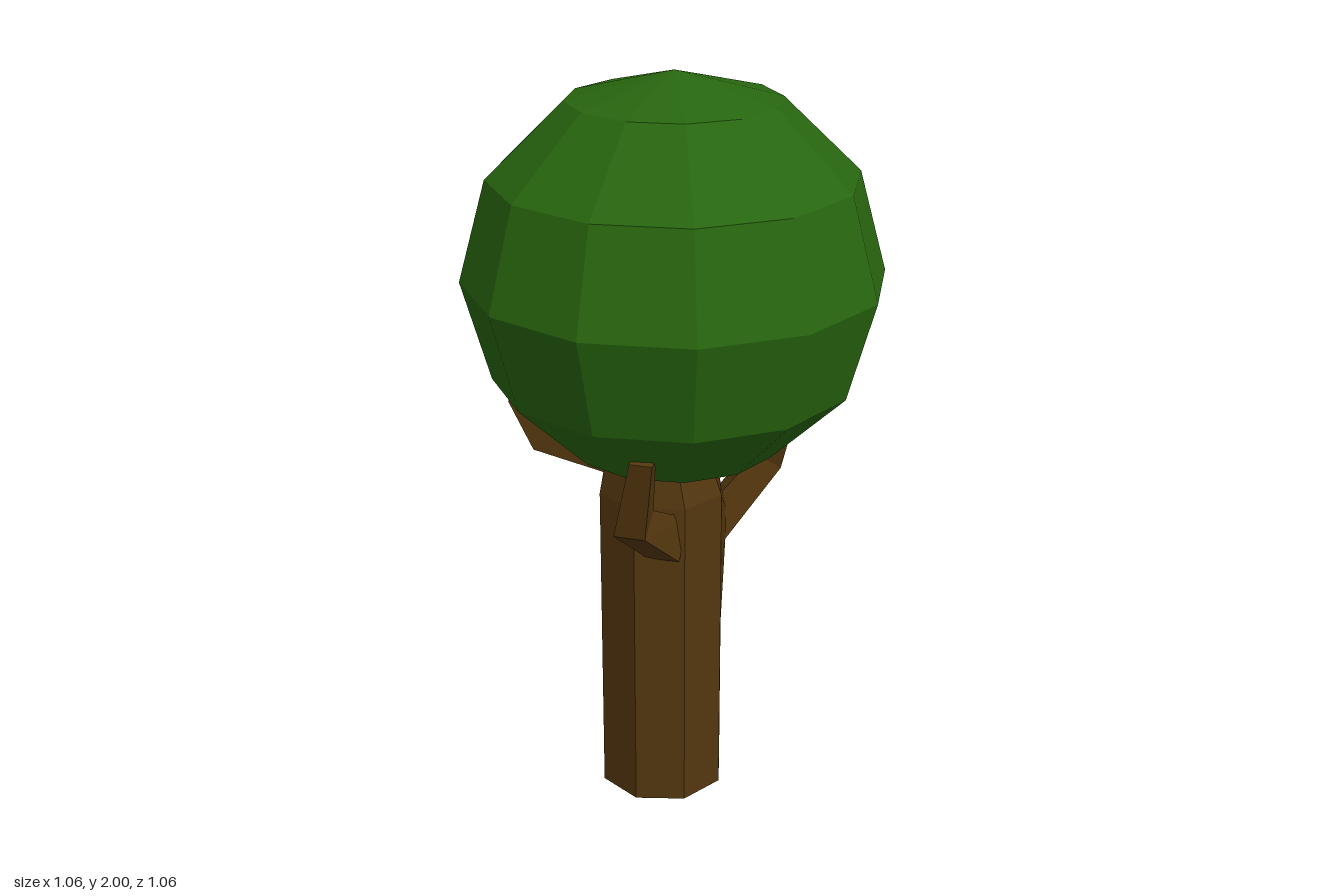
import * as THREE from 'three';

// Closed, flat-faced skin over a list of rings (arrays of Vector3)
function loft(rings) {
  const pos = [];
  const tri = (...pts) => pts.forEach(p => pos.push(p.x, p.y, p.z));
  const n = rings[0].length;
  const last = rings.length - 1;
  const middle = ring => ring.reduce((s, p) => s.add(p), new THREE.Vector3()).divideScalar(n);
  const low = middle(rings[0]);
  const high = middle(rings[last]);
  for (let j = 0; j < n; j++) {
    const k = (j + 1) % n;
    for (let i = 0; i < last; i++) {
      const a = rings[i][j], b = rings[i][k], c = rings[i + 1][k], d = rings[i + 1][j];
      tri(a, d, c);
      tri(a, c, b);
    }
    tri(low, rings[0][j], rings[0][k]);
    tri(high, rings[last][k], rings[last][j]);
  }
  const geo = new THREE.BufferGeometry();
  geo.setAttribute('position', new THREE.Float32BufferAttribute(pos, 3));
  geo.computeVertexNormals();
  return geo;
}

// Eight-sided ring of the trunk
function trunkRing(y, r, cx = -0.036, cz = 0) {
  return Array.from({ length: 8 }, (_, j) => {
    const a = j * Math.PI / 4;
    return new THREE.Vector3(cx + r * Math.cos(a), y, cz + r * Math.sin(a));
  });
}

// Four-sided limb; each node is [x, y, z, half width, half height]
function limb(nodes) {
  const pts = nodes.map(n => new THREE.Vector3(n[0], n[1], n[2]));
  const end = pts.length - 1;
  const run = pts[end].clone().sub(pts[0]);
  const u = new THREE.Vector3(-run.z, 0, run.x).normalize();
  return loft(nodes.map((n, i) => {
    const t = pts[Math.min(i + 1, end)].clone().sub(pts[Math.max(i - 1, 0)]);
    const v = u.clone().cross(t).normalize();
    return [[1, 1], [-1, 1], [-1, -1], [1, -1]].map(([a, b]) =>
      pts[i].clone().addScaledVector(u, a * n[3]).addScaledVector(v, b * n[4]));
  }));
}

export function createModel() {
  const tree = new THREE.Group();
  tree.name = 'tree';

  const bark = new THREE.MeshStandardMaterial({ color: 0x54370f, flatShading: true });
  bark.name = 'bark brown';
  const leaf = new THREE.MeshStandardMaterial({ color: 0x28660f, flatShading: true });
  leaf.name = 'leaf green';

  const add = (name, geo, mat) => {
    const mesh = new THREE.Mesh(geo, mat);
    mesh.name = name;
    tree.add(mesh);
    return mesh;
  };

  // Trunk, swelling on its left where the long branch leaves it
  const rings = [
    trunkRing(0, 0.175), trunkRing(0.44, 0.175), trunkRing(0.68, 0.175),
    trunkRing(0.77, 0.175), trunkRing(0.89, 0.175), trunkRing(1.02, 0.14, -0.05, 0.01),
  ];
  for (const ring of [rings[2], rings[3]]) {
    ring[0].x = 0.165;
    ring[0].z = -0.035;
    ring[7].x = 0.145;
    ring[7].z = -0.115;
  }
  rings[4][0].x = 0.13;
  add('trunk', loft(rings), bark);

  // Branches
  add('leftBranch', limb([
    [0.12, 0.69, -0.075, 0.038, 0.05],
    [0.30, 0.895, -0.06, 0.033, 0.04],
    [0.355, 1.12, 0.02, 0.014, 0.008],
  ]), bark);
  add('frontBranch', limb([
    [-0.07, 0.795, 0.13, 0.045, 0.06],
    [-0.195, 0.90, 0.225, 0.042, 0.045],
    [-0.195, 1.10, 0.295, 0.03, 0.016],
  ]), bark);
  add('rightBranch', limb([
    [-0.15, 0.98, -0.05, 0.045, 0.045],
    [-0.32, 1.035, -0.13, 0.04, 0.045],
    [-0.38, 1.14, -0.165, 0.03, 0.025],
  ]), bark);

  // Round faceted crown
  const crown = add('crown', new THREE.SphereGeometry(1, 12, 6).rotateY(Math.PI / 12), leaf);
  crown.scale.set(0.549, 0.53, 0.549);
  crown.position.y = 1.47;

  return tree;
}
